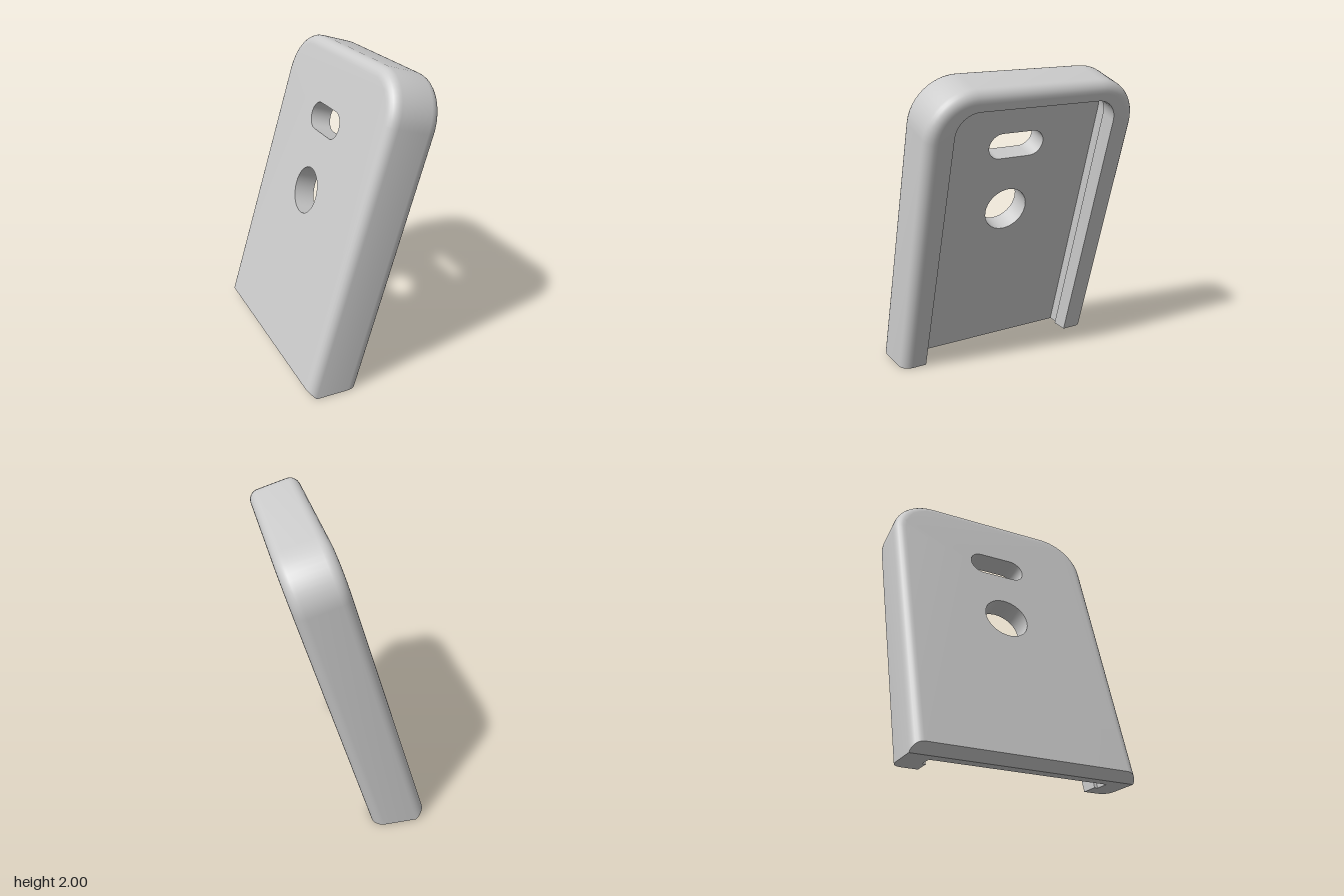
import * as THREE from 'three';
import { mergeGeometries, toCreasedNormals } from 'three/addons/utils/BufferGeometryUtils.js';

// Local axes before tilting: x = through the thickness, y = up the slab, z = width
const TILT = 0.2932;
const BACK = -0.453, FRONT = -0.105, PLATE = -0.31, LIP = -0.22;
const BEVEL = 0.07, STEPS = 6;

// Height of the foot: level with the ground, chamfered at the back edge
function foot(x) {
  const kink = BACK + BEVEL;
  if (x >= kink) return x * Math.tan(TILT);
  return THREE.MathUtils.lerp(-0.074, kink * Math.tan(TILT), (x - BACK) / BEVEL);
}

// Arch outline at depth x, from the +z foot over the top to the -z foot
function arch(x, half, top, r) {
  const side = [new THREE.Vector3(x, foot(x), half)];
  for (let i = 0; i <= 12; i++) {
    const a = (i / 12) * Math.PI / 2;
    side.push(new THREE.Vector3(x, top - r + r * Math.sin(a), half - r + r * Math.cos(a)));
  }
  const mirror = side.map(p => new THREE.Vector3(p.x, p.y, -p.z)).reverse();
  return [...side, ...mirror];
}

// Skin between rings with equal point counts
function loft(rings) {
  const pos = [];
  for (let j = 0; j < rings.length - 1; j++) {
    for (let i = 0; i < rings[j].length - 1; i++) {
      const a = rings[j][i], b = rings[j + 1][i], c = rings[j + 1][i + 1], d = rings[j][i + 1];
      for (const p of [a, b, d, b, c, d]) pos.push(p.x, p.y, p.z);
    }
  }
  const g = new THREE.BufferGeometry();
  g.setAttribute('position', new THREE.Float32BufferAttribute(pos, 3));
  return g;
}

// Flat face from 2D outline, placed by a mapping rule
function cap(points, holes, place, flip) {
  const shape = new THREE.Shape(points);
  shape.holes = holes.map(h => new THREE.Path(h));
  const g = new THREE.ShapeGeometry(shape).toNonIndexed();
  const src = g.attributes.position, pos = [];
  for (let i = 0; i < src.count; i += 3) {
    for (const k of flip ? [0, 2, 1] : [0, 1, 2]) {
      pos.push(...place(src.getX(i + k), src.getY(i + k)));
    }
  }
  const out = new THREE.BufferGeometry();
  out.setAttribute('position', new THREE.Float32BufferAttribute(pos, 3));
  return out;
}

// Round or slotted hole outline as (z, y) points
function holeOutline(centre, r, stretch) {
  const pts = [];
  for (let h = 0; h < 2; h++) {
    for (let i = 0; i <= 16; i++) {
      if (!stretch && i === 16) continue;
      const a = Math.PI / 2 - h * Math.PI - (i / 16) * Math.PI;
      pts.push(new THREE.Vector2(r * Math.cos(a) + (h ? -stretch : stretch), centre + r * Math.sin(a)));
    }
  }
  return pts;
}

export function createModel() {
  const rings = [];
  const outer = (x, inset) => rings.push(arch(x, 0.74 - inset, 1.968 - inset, 0.3 - inset));
  // Rounded outer wall, back edge then front edge
  for (let i = 0; i <= STEPS; i++) {
    const a = (i / STEPS) * Math.PI / 2;
    outer(BACK + BEVEL * (1 - Math.cos(a)), BEVEL * (1 - Math.sin(a)));
  }
  for (let i = 0; i <= STEPS; i++) {
    const a = (i / STEPS) * Math.PI / 2;
    outer(FRONT - BEVEL * (1 - Math.sin(a)), BEVEL * (1 - Math.cos(a)));
  }
  // Retaining lip and the undercut channel behind it
  rings.push(arch(FRONT, 0.57, 1.849, 0.15));
  rings.push(arch(LIP, 0.57, 1.849, 0.15));
  rings.push(arch(LIP, 0.592, 1.871, 0.172));
  rings.push(arch(PLATE, 0.592, 1.871, 0.172));

  const holes = [holeOutline(1.006, 0.154, 0), holeOutline(1.489, 0.089, 0.111)];
  const parts = [loft(rings)];

  // Back and front faces of the plate
  const flat = ring => ring.map(p => new THREE.Vector2(p.z, p.y));
  parts.push(cap(flat(rings[0]), holes, (u, v) => [BACK, v, u], false));
  parts.push(cap(flat(rings[rings.length - 1]), holes, (u, v) => [PLATE, v, u], true));

  // Walls of the holes
  for (const h of holes) {
    const loop = [...h, h[0]];
    parts.push(loft([BACK, PLATE].map(x => loop.map(p => new THREE.Vector3(x, p.y, p.x)))));
  }

  // Foot: chamfered back strip and level U-shaped base
  for (const span of [rings.slice(0, STEPS + 1), rings.slice(STEPS)]) {
    const side = span.map(r => new THREE.Vector2(r[0].z, r[0].x));
    const mirror = side.map(p => new THREE.Vector2(-p.x, p.y)).reverse();
    parts.push(cap([...side, ...mirror], [], (u, v) => [v, foot(v), u], true));
  }

  const geometry = toCreasedNormals(mergeGeometries(parts), 0.5);
  const holder = new THREE.Mesh(geometry, new THREE.MeshStandardMaterial({ color: 0xcccccc }));
  holder.name = 'slidingHolderShell';
  holder.rotation.z = -TILT;

  const group = new THREE.Group();
  group.name = 'tiltedHolder';
  group.add(holder);
  return group;
}
